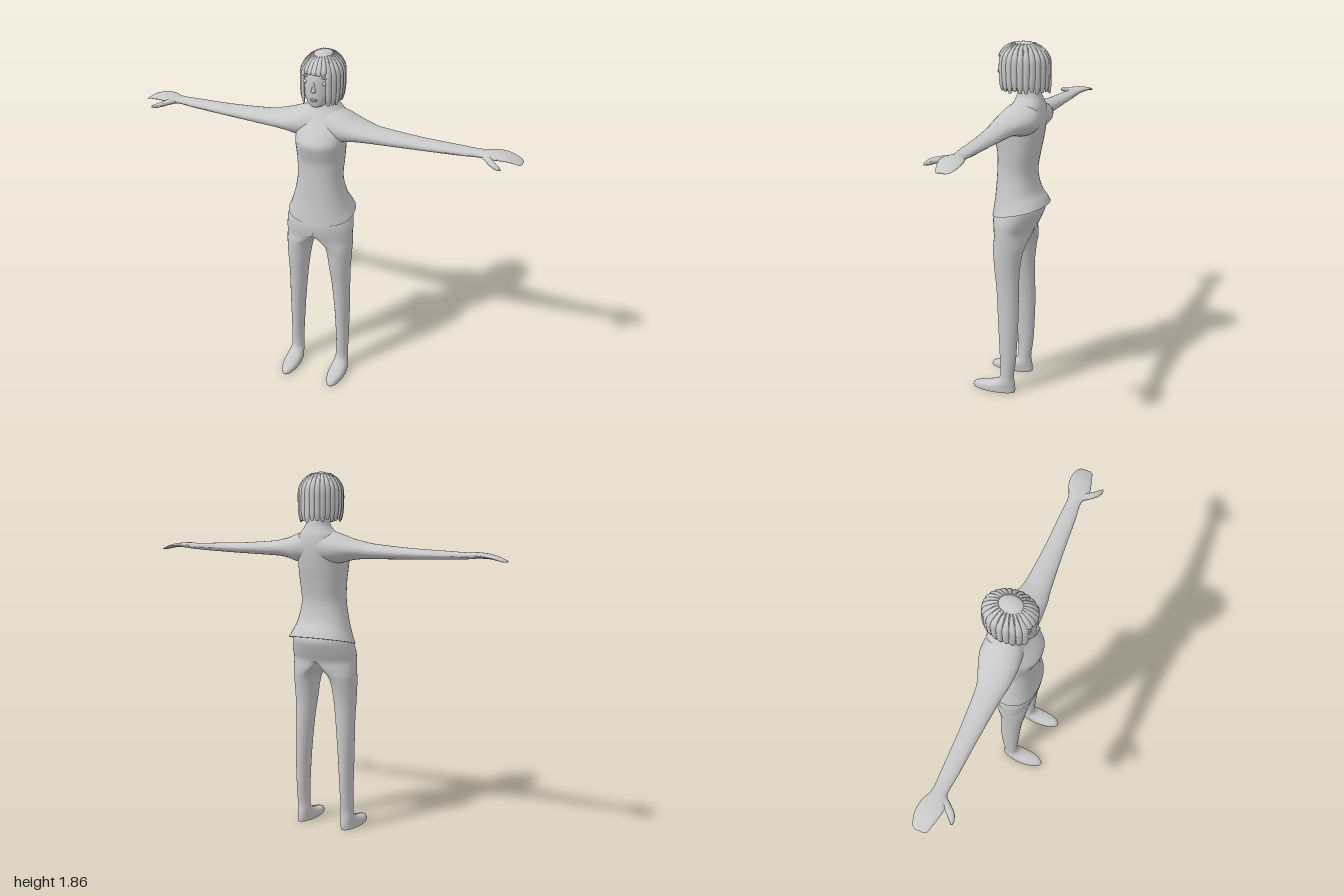
import * as THREE from 'three';
import { toCreasedNormals } from 'three/addons/utils/BufferGeometryUtils.js';

const SEG = 36;
const grey = new THREE.MeshStandardMaterial({ color: 0xc8c8c8 });
grey.name = 'plain grey';

// Smoothly resample rows of numbers (Catmull-Rom on every column)
function smooth(rows, sub = 4) {
  const out = [];
  const at = i => rows[Math.min(Math.max(i, 0), rows.length - 1)];
  for (let i = 0; i < rows.length - 1; i++) {
    for (let k = 0; k < sub; k++) {
      const t = k / sub;
      out.push(at(i).map((p1, c) => {
        const p0 = at(i - 1)[c], p2 = at(i + 1)[c], p3 = at(i + 2)[c];
        return p1 + 0.5 * t * (p2 - p0 + t * (2 * p0 - 5 * p1 + 4 * p2 - p3 + t * (3 * (p1 - p2) + p3 - p0)));
      }));
    }
  }
  out.push(rows[rows.length - 1]);
  return out;
}

// Skin a list of rings of [x, y, z] points, with closed ends, facing outward
function loft(rings, mirrored = false) {
  const n = rings[0].length, m = rings.length, index = [];
  const mid = r => [0, 1, 2].map(c => r.reduce((s, p) => s + p[c], 0) / n);
  const pts = [...rings.flat(), mid(rings[0]), mid(rings[m - 1])]
    .map(p => new THREE.Vector3(mirrored ? -p[0] : p[0], p[1], p[2]));
  for (let j = 0; j < n; j++) {
    const k = (j + 1) % n;
    for (let i = 0; i < m - 1; i++) {
      const a = i * n + j, b = i * n + k;
      index.push(a, b, a + n, b, b + n, a + n);
    }
    index.push(m * n, k, j, m * n + 1, (m - 1) * n + j, (m - 1) * n + k);
  }
  let volume = 0;
  const cross = new THREE.Vector3();
  for (let i = 0; i < index.length; i += 3) {
    volume += pts[index[i]].dot(cross.crossVectors(pts[index[i + 1]], pts[index[i + 2]]));
  }
  if (volume < 0) index.reverse();
  const geo = new THREE.BufferGeometry().setFromPoints(pts);
  geo.setIndex(index);
  return toCreasedNormals(geo, 1.0);
}

// Closed ring from a function of angle
const ring = (fn, n = SEG) => Array.from({ length: n }, (_, j) => {
  const a = (j / n) * Math.PI * 2;
  return fn(Math.cos(a), Math.sin(a));
});
const soft = (v, p) => Math.sign(v) * Math.pow(Math.abs(v), p);

// Upright section: y, half width, front z, back z, tilt
const upright = (rows, p = 1) => smooth(rows).map(([y, w, f, b, tilt = 0]) => ring((c, s) => {
  const z = (f + b) / 2 + (f - b) / 2 * soft(s, p);
  return [w * soft(c, p), y - tilt * (z + 0.035), z];
}));

// Sideways section: x, top y, bottom y, front z, back z
const sideways = rows => smooth(rows).map(([x, t, b, f, k]) => ring((c, s) =>
  [x, (t + b) / 2 + (t - b) / 2 * s, (f + k) / 2 + (f - k) / 2 * c]));

// Leg section: y, inner x, outer x, front z, back z, blend from half hip to round leg
const legRings = rows => smooth(rows).map(([y, i, o, f, b, t]) => ring((c, s) => {
  const hip = o * Math.max(0, c), leg = (i + o) / 2 + (o - i) / 2 * c;
  return [hip + (leg - hip) * t, Math.max(y, 0), (f + b) / 2 + (f - b) / 2 * s];
}));

export function createModel() {
  const model = new THREE.Group();
  model.name = 'standingWoman';
  const add = (name, geo, parent = model) => {
    const mesh = new THREE.Mesh(geo, grey);
    mesh.name = name;
    parent.add(mesh);
    return mesh;
  };

  // Shirt and neck, with a hem that rises at the back
  add('torso', loft(upright([
    [1.0, 0.176, 0.106, -0.178, 0.22], [1.04, 0.158, 0.1, -0.162, 0.18],
    [1.1, 0.137, 0.092, -0.132, 0.1], [1.2, 0.116, 0.086, -0.115, 0],
    [1.3, 0.12, 0.085, -0.13, 0], [1.36, 0.123, 0.1, -0.143, 0],
    [1.41, 0.125, 0.11, -0.152, 0], [1.45, 0.125, 0.088, -0.157, 0],
    [1.5, 0.12, 0.045, -0.16, 0], [1.545, 0.1, 0.01, -0.155, 0],
    [1.58, 0.07, -0.01, -0.143, 0], [1.61, 0.057, -0.015, -0.135, 0],
    [1.68, 0.055, -0.01, -0.13, 0],
  ], 0.88)));

  // Legs run from the hip down into the foot
  const leg = legRings([
    [1.05, 0, 0.145, 0.085, -0.135, 0], [1.01, 0, 0.164, 0.095, -0.155, 0],
    [0.95, 0, 0.178, 0.104, -0.134, 0], [0.9, 0, 0.18, 0.1, -0.11, 0],
    [0.86, 0.005, 0.18, 0.087, -0.1, 0.5], [0.82, 0.032, 0.179, 0.08, -0.09, 0.9],
    [0.77, 0.046, 0.177, 0.075, -0.078, 1], [0.68, 0.06, 0.173, 0.067, -0.066, 1],
    [0.58, 0.073, 0.17, 0.055, -0.065, 1], [0.4, 0.09, 0.169, 0.045, -0.065, 1],
    [0.2, 0.1, 0.166, 0.035, -0.055, 1], [0.1, 0.1, 0.166, 0.032, -0.042, 1],
    [0.065, 0.097, 0.169, 0.052, -0.044, 1], [0.045, 0.093, 0.174, 0.11, -0.048, 1],
    [0.03, 0.09, 0.177, 0.175, -0.05, 1], [0.012, 0.09, 0.178, 0.19, -0.051, 1],
    [0, 0.092, 0.177, 0.187, -0.05, 1],
  ]);
  // Arms widen into the shoulders and flatten into the hands
  const arm = sideways([
    [0, 1.56, 1.4, 0.03, -0.155], [0.06, 1.567, 1.4, 0.04, -0.158],
    [0.12, 1.55, 1.405, 0.046, -0.158], [0.18, 1.529, 1.42, 0.045, -0.14],
    [0.24, 1.515, 1.428, 0.04, -0.118], [0.3, 1.505, 1.43, 0.03, -0.102],
    [0.5, 1.49, 1.435, 0.01, -0.09], [0.7, 1.483, 1.442, -0.005, -0.087],
    [0.79, 1.48, 1.447, -0.015, -0.085], [0.83, 1.482, 1.45, -0.005, -0.093],
    [0.87, 1.481, 1.455, 0.004, -0.11], [0.92, 1.475, 1.455, -0.006, -0.117],
    [0.96, 1.463, 1.448, -0.018, -0.112], [0.99, 1.45, 1.442, -0.027, -0.1],
    [1, 1.444, 1.441, -0.04, -0.085],
  ]);
  const thumb = sideways([
    [0.81, 1.475, 1.452, -0.018, -0.055], [0.845, 1.477, 1.45, 0.025, -0.04],
    [0.87, 1.474, 1.447, 0.05, 0], [0.9, 1.465, 1.443, 0.062, 0.032], [0.92, 1.455, 1.445, 0.06, 0.05],
  ]);
  for (const [side, flip] of [['left', false], ['right', true]]) {
    add(side + 'Leg', loft(leg, flip));
    add(side + 'Arm', loft(arm, flip));
    add(side + 'Thumb', loft(thumb, flip));
  }

  // Head and face
  const head = new THREE.Group();
  head.name = 'head';
  model.add(head);
  add('face', loft(upright([
    [1.606, 0.018, 0.06, 0.015], [1.618, 0.042, 0.074, -0.03], [1.65, 0.069, 0.079, -0.1],
    [1.7, 0.087, 0.08, -0.13], [1.75, 0.091, 0.078, -0.14], [1.8, 0.084, 0.064, -0.14],
    [1.835, 0.06, 0.03, -0.11], [1.848, 0.02, -0.01, -0.06],
  ])), head);
  const blob = (name, x, y, z, sx, sy, sz) => {
    const geo = new THREE.SphereGeometry(1, 16, 10).scale(sx, sy, sz);
    add(name, geo, head).position.set(x, y, z);
  };
  for (const s of [-1, 1]) {
    blob('eye', s * 0.046, 1.737, 0.058, 0.013, 0.011, 0.011);
    blob('eyebrow', s * 0.046, 1.765, 0.06, 0.02, 0.004, 0.007);
  }
  blob('upperLip', 0, 1.655, 0.078, 0.02, 0.005, 0.007);
  blob('lowerLip', 0, 1.646, 0.077, 0.017, 0.005, 0.007);
  add('nose', loft(upright([
    [1.69, 0.004, 0.082, 0.07], [1.697, 0.013, 0.094, 0.06],
    [1.71, 0.01, 0.092, 0.06], [1.745, 0.005, 0.08, 0.06],
  ])), head);

  // Hair: smooth crown with overlapping locks, short over the forehead
  const hair = new THREE.Group();
  hair.name = 'hair';
  model.add(hair);
  const RX = 0.1, RY = 0.108, RZ = 0.13, CY = 1.75, CZ = -0.047;
  const crown = new THREE.SphereGeometry(1, 32, 14, 0, Math.PI * 2, 0, 1.05).scale(RX, RY, RZ);
  add('crown', crown, hair).position.set(0, CY, CZ);
  const COUNT = 26;
  for (let i = 0; i < COUNT; i++) {
    const phi = (i / COUNT) * Math.PI * 2;
    const sx = Math.sin(phi), cz = Math.cos(phi);
    const fringe = cz > 0.8;
    const end = fringe ? 1.778 : 1.615 + 0.006 * Math.sin(i * 2.3);
    const side = new THREE.Vector3(RX * cz, 0, -RZ * sx).normalize();
    const rings = [];
    const N = 14;
    for (let k = 0; k <= N; k++) {
      const t = k / N;
      // Follow the crown to its widest level, then hang nearly straight
      const y = CY + RY * 0.9 - t * (CY + RY * 0.9 - end);
      const up = Math.max(0, (y - CY) / RY);
      const hang = Math.max(0, CY - y) / 0.135;
      const r = Math.sqrt(1 - up * up) * (1 + 0.03 * hang - 0.12 * hang * hang * Math.abs(sx));
      const p = new THREE.Vector3(RX * r * sx, y, CZ + RZ * r * cz);
      const out = new THREE.Vector3(sx / RX * r, up / RY, cz / RZ * r).normalize();
      const shape = Math.min(1, 0.45 + t * 2) * (t > 0.85 ? 1 - (t - 0.85) * 3.5 : 1);
      const hw = 0.0165 * shape * (0.55 + 0.45 * r), th = 0.009 * shape;
      rings.push(ring((c, s) => p.clone().addScaledVector(side, hw * c)
        .addScaledVector(out, th * s).toArray(), 10));
    }
    add(fringe ? 'fringeLock' : 'hairLock', loft(rings), hair);
  }
  return model;
}
